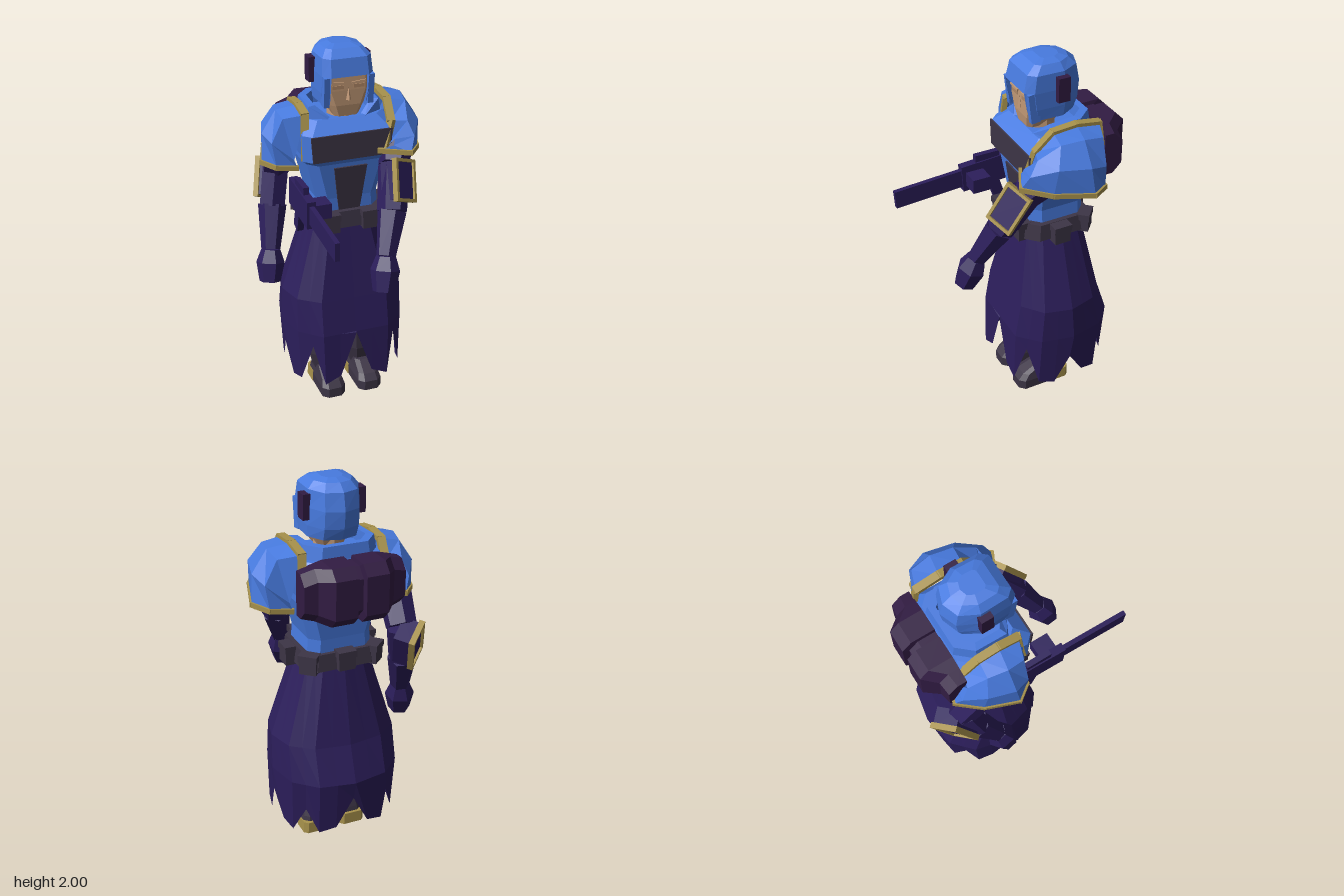
import * as THREE from 'three';

const mat = (name, color) => new THREE.MeshStandardMaterial({ name, color, flatShading: true, side: THREE.DoubleSide });
const blue = mat('armour blue', 0x487be0), gold = mat('trim gold', 0xa8924c), purple = mat('cloth purple', 0x2c1e5b);
const grey = mat('dark grey', 0x3d3546), plum = mat('pack plum', 0x321c43), skin = mat('skin', 0xc69c78);
const lid = mat('eye tan', 0xb08866);
const V = (p) => new THREE.Vector3(...p);

export function createModel() {
  const root = new THREE.Group();
  const add = (name, geo, m, pos = [0, 0, 0], rot = [0, 0, 0], parent = root) => {
    const mesh = new THREE.Mesh(geo, m);
    mesh.name = name;
    mesh.position.set(...pos);
    mesh.rotation.set(...rot);
    parent.add(mesh);
    return mesh;
  };
  const box = (name, m, size, pos, rot, parent) => add(name, new THREE.BoxGeometry(...size), m, pos, rot, parent);

  // Skin a row of equal-length cross-sections, facing outwards
  function loft(rings, { closed = true, caps = false } = {}) {
    const n = rings[0].length, tris = [], pts = rings.flat().map(V);
    for (let r = 0; r < rings.length - 1; r++) {
      for (let i = 0; i < (closed ? n : n - 1); i++) {
        const a = r * n + i, b = r * n + (i + 1) % n;
        tris.push([a, b, b + n], [a, b + n, a + n]);
      }
    }
    if (caps) {
      const e = (rings.length - 1) * n;
      for (let i = 1; i < n - 1; i++) tris.push([0, i + 1, i], [e, e + i, e + i + 1]);
    }
    const mid = pts.reduce((s, p) => s.add(p), new THREE.Vector3()).divideScalar(pts.length);
    let vol = 0;
    for (const t of tris) {
      const [a, b, c] = t.map((k) => pts[k].clone().sub(mid));
      vol += a.dot(b.cross(c));
    }
    if (vol < 0) tris.forEach((t) => t.reverse());
    const geo = new THREE.BufferGeometry().setFromPoints(tris.flat().map((k) => pts[k]));
    geo.computeVertexNormals();
    return geo;
  }
  // Horizontal rectangle with cut corners
  const oct = (y, hx, zf, zb, c = 0.05, cx = 0) => [[hx - c, zf], [hx, zf - c], [hx, zb + c], [hx - c, zb],
    [c - hx, zb], [-hx, zb + c], [-hx, zf - c], [c - hx, zf]].map(([x, z]) => [x + cx, y, z]);
  // Tapered six-sided rod between two points
  function limb(name, a, b, ra, rb) {
    const A = V(a), B = V(b), d = B.clone().sub(A);
    const mesh = add(name, new THREE.CylinderGeometry(rb, ra, d.length(), 6), purple, A.clone().lerp(B, 0.5).toArray());
    mesh.quaternion.setFromUnitVectors(new THREE.Vector3(0, 1, 0), d.normalize());
  }
  function bars(name, pts, w, h) {
    for (let i = 0; i < pts.length - 1; i++) {
      const A = V(pts[i]), B = V(pts[i + 1]);
      box(name, gold, [w, h, A.distanceTo(B) + 0.012], A.clone().lerp(B, 0.5).toArray()).lookAt(B);
    }
  }
  function plate(name, m, corners, depth, pos, rot) {
    const shape = new THREE.Shape(corners.map((c) => new THREE.Vector2(...c)));
    add(name, new THREE.ExtrudeGeometry(shape, { depth, bevelEnabled: false }), m, pos, rot);
  }

  // Torso and its dark panels
  add('torso', loft([oct(1.06, 0.18, 0, -0.31), oct(1.2, 0.17, 0, -0.31), oct(1.4, 0.22, 0.02, -0.32),
    oct(1.43, 0.25, 0.04, -0.34, 0.04), oct(1.57, 0.25, 0.04, -0.36, 0.04), oct(1.63, 0.21, -0.03, -0.34)], { caps: true }), blue);
  plate('chestPanel', grey, [[-0.21, 1.43], [0.21, 1.43], [0.22, 1.57], [-0.22, 1.57]], 0.009, [0, 0, 0.041]);
  plate('bellyPanel', grey, [[-0.055, -0.1], [0.055, -0.1], [0.09, 0.18], [-0.09, 0.18]], 0.009, [0, 1.2, 0.001], [0.1, 0, 0]);

  // Collar, low at the front
  const collar = (s, dy) => [[0.09, 1.62, -0.02], [0.19, 1.69, -0.08], [0.19, 1.7, -0.25], [0.12, 1.7, -0.33],
    [-0.12, 1.7, -0.33], [-0.19, 1.7, -0.25], [-0.19, 1.69, -0.08], [-0.09, 1.62, -0.02]]
    .map(([x, y, z]) => [x * s, y + dy, (z + 0.16) * s - 0.16]);
  add('collar', loft([collar(1.1, -0.12), collar(1, 0), collar(0.8, 0), collar(0.78, -0.1)]), blue);

  // Head: neck, face, eyes and nose
  add('neck', new THREE.CylinderGeometry(0.08, 0.08, 0.18, 8), skin, [0, 1.64, -0.12]);
  add('face', loft([oct(1.64, 0.065, -0.025, -0.18, 0.02), oct(1.7, 0.095, -0.014, -0.2, 0.03),
    oct(1.78, 0.112, -0.01, -0.2, 0.02), oct(1.88, 0.112, -0.01, -0.2, 0.02)], { caps: true }), skin);
  add('nose', new THREE.ConeGeometry(0.014, 0.07, 4), skin, [0, 1.765, -0.008]);
  for (const s of [-1, 1]) {
    box('brow', skin, [0.075, 0.012, 0.009], [s * 0.055, 1.82, -0.008], [0, 0, s * 0.08]);
    box('eye', lid, [0.06, 0.018, 0.006], [s * 0.055, 1.8, -0.009]);
  }

  // Helmet: full dome over an open-fronted skirt with ear blocks
  const helm = (y, sx, zf, zb) => [[0.1, 1], [0.135, 0.88], [0.14, 0.4], [0.09, 0.1], [0, 0], [-0.09, 0.1],
    [-0.14, 0.4], [-0.135, 0.88], [-0.1, 1]].map(([x, t]) => [x * sx, y, zb + (zf - zb) * t]);
  const rim = helm(1.86, 1, 0.02, -0.325);
  add('helmetDome', loft([rim, helm(1.95, 0.95, 0, -0.305), helm(1.987, 0.72, -0.05, -0.26), helm(2, 0.4, -0.1, -0.21)], { caps: true }), blue);
  add('helmetSides', loft([helm(1.71, 0.97, -0.015, -0.29), helm(1.77, 1, 0.005, -0.315), rim], { closed: false }), blue);
  for (const s of [-1, 1]) {
    box('earBlock', plum, [0.04, 0.13, 0.065], [s * 0.147, 1.865, -0.168]);
    box('cheekGuard', blue, [0.03, 0.16, 0.05], [s * 0.118, 1.782, -0.022], [0.12, 0, 0]);
  }

  // Shoulder guards; the right one is the left turned half round
  const guard = [
    [[0.18, 1.46, 0.04], [0.22, 1.6, 0.02], [0.23, 1.69, -0.07], [0.23, 1.7, -0.2], [0.23, 1.68, -0.33], [0.24, 1.45, -0.36]],
    [[0.22, 1.52, 0.08], [0.3, 1.6, 0.05], [0.33, 1.67, -0.06], [0.35, 1.68, -0.18], [0.34, 1.66, -0.29], [0.28, 1.5, -0.34]],
    [[0.21, 1.49, 0.09], [0.32, 1.53, 0.1], [0.39, 1.57, -0.02], [0.43, 1.56, -0.18], [0.4, 1.53, -0.28], [0.29, 1.44, -0.32]],
    [[0.14, 1.46, 0.06], [0.29, 1.455, 0.135], [0.38, 1.43, 0], [0.44, 1.41, -0.2], [0.38, 1.4, -0.29], [0.27, 1.39, -0.31]]];
  const turned = guard.map((r) => r.map(([x, y, z]) => [-x * 0.97, y - 0.015, -0.32 - z * 0.85]));
  for (const [side, g] of [['left', guard], ['right', turned]]) {
    add(side + 'ShoulderGuard', loft(g, { closed: false }), blue);
    bars(side + 'ShoulderStrip', g[0], 0.042, 0.026);
    bars(side + 'ShoulderRim', g[3], 0.018, 0.026);
  }

  // Arms: shoulder, elbow, wrist and fist, with a framed plate on each
  const arms = [
    { side: 'left', p: [[0.27, 1.47, -0.02], [0.22, 1.37, 0.07], [0.165, 1.17, 0.19], [0.095, 0.97, 0.29], [0.06, 0.8, 0.35]],
      c: [0.24, 1.325, 0.175], up: [0.03, 0.19, -0.107], n: [0.51, 0.36, 0.78] },
    { side: 'right', p: [[-0.29, 1.45, -0.26], [-0.28, 1.25, -0.4], [-0.32, 1.05, -0.35], [-0.365, 0.83, -0.25], [-0.39, 0.66, -0.2]],
      c: [-0.33, 1.16, -0.475], up: [0.05, 0.2, -0.1], n: [-0.65, -0.1, -0.7] }];
  for (const { side, p, c, up, n } of arms) {
    limb(side + 'UpperArm', p[0], p[1], 0.09, 0.08);
    limb(side + 'Elbow', p[1], p[2], 0.08, 0.078);
    limb(side + 'Forearm', p[2], p[3], 0.078, 0.052);
    const mid = V(p[3]).lerp(V(p[4]), 0.4).toArray();
    limb(side + 'Hand', p[3], mid, 0.052, 0.078);
    limb(side + 'Fist', mid, p[4], 0.078, 0.058);
    const y = V(up).normalize(), z = V(n).addScaledVector(y, -V(n).dot(y)).normalize();
    const g = new THREE.Group();
    g.name = side + 'ArmPlate';
    g.position.set(...c);
    g.quaternion.setFromRotationMatrix(new THREE.Matrix4().makeBasis(y.clone().cross(z), y, z));
    root.add(g);
    box('plateBlock', purple, [0.14, 0.2, 0.1], [0, 0, -0.05], [0, 0, 0], g);
    for (const s of [-1, 1]) {
      box('plateFrameSide', gold, [0.016, 0.222, 0.03], [s * 0.07, 0, -0.003], [0, 0, 0], g);
      box('plateFrameEnd', gold, [0.156, 0.016, 0.03], [0, s * 0.103, -0.003], [0, 0, 0], g);
    }
  }

  // Rifle at the right hip
  box('rifleBarrel', purple, [0.025, 0.1, 0.5], [-0.273, 1.215, 0.33], [0.06, 0, 0]);
  box('rifleBody', purple, [0.045, 0.15, 0.3], [-0.275, 1.23, 0.05], [0.06, 0, 0]);
  box('rifleSight', purple, [0.03, 0.05, 0.14], [-0.275, 1.315, 0.05]);
  box('rifleGrip', purple, [0.035, 0.13, 0.06], [-0.275, 1.12, 0], [0.3, 0, 0]);
  box('rifleDrum', purple, [0.1, 0.08, 0.1], [-0.21, 1.22, 0.13]);

  // Back pack: cut-corner sections along x with a groove in the middle
  const pack = (x, zb, h) => [[-0.35, -h], [zb + 0.05, -h], [zb, 0.05 - h], [zb, h - 0.05], [zb + 0.05, h], [-0.35, h]]
    .map(([z, y]) => [x, 1.5 + y, z]);
  const half = [[0.268, -0.45, 0.115], [0.2, -0.46, 0.135], [0.14, -0.53, 0.15], [0.022, -0.53, 0.15], [0.018, -0.497, 0.13]];
  add('backPack', loft([...half.map(([x, z, h]) => pack(-x, z, h)), ...half.slice().reverse().map(([x, z, h]) => pack(x, z, h))], { caps: true }), plum);

  // Belt and pouches
  add('belt', loft([oct(1.04, 0.21, 0.04, -0.34, 0.06), oct(1.13, 0.2, 0.03, -0.33, 0.06)], { caps: true }), grey);
  for (const [x, y, z, turn] of [[-0.12, 1.08, 0.04, 0], [0.1, 1.08, 0.04, 0], [0.225, 1.075, -0.13, 1.57],
    [-0.215, 1.085, -0.13, 1.57], [0.18, 1.08, -0.3, 2.4], [-0.18, 1.08, -0.3, -2.4], [0, 1.09, -0.34, 0]]) {
    box('pouch', grey, [0.09, 0.1, 0.06], [x, y, z], [0, turn, 0]);
    box('pouchFlap', grey, [0.1, 0.035, 0.07], [x, y + 0.035, z], [0, turn, 0]);
  }

  // Skirt of twelve broad panels with a ragged hem, parted at the front
  const hem = [0.43, 0.17, 0.13, 0.36, 0.14, 0.12, 0.29, 0.15, 0.13, 0.27, 0.14, 0.16, 0.33];
  const skirt = (y, rx, zf, zb) => {
    const at = (i) => {
      const a = i * Math.PI / 12, sq = (v) => Math.sign(v) * Math.abs(v) ** 0.85;
      const part = i % 24 === 0 ? 0.88 : 1;
      return V([rx * sq(Math.sin(a)), 0, (zf + zb) / 2 + (zf - zb) / 2 * sq(Math.cos(a)) * part]);
    };
    return hem.concat(hem.slice(1, -1).reverse()).map((h, i) => {
      const p = i % 2 ? at(i - 1).lerp(at(i + 1), 0.5) : at(i);
      return [p.x, y ?? h, p.z];
    });
  };
  add('skirt', loft([skirt(1.07, 0.19, 0.02, -0.33), skirt(0.63, 0.335, 0.11, -0.42), skirt(0.435, 0.338, 0.15, -0.49),
    skirt(null, 0.325, 0.155, -0.465)]), purple);

  // Legs and boots
  for (const s of [-1, 1]) {
    const x = s * 0.108, leg = (y, r, dx = 0) => oct(y, r, -0.14 + r, -0.14 - r, r * 0.5, x + s * dx);
    add('leg', loft([leg(0.09, 0.055), leg(0.2, 0.08), leg(0.45, 0.085, -0.005), leg(0.95, 0.1)], { caps: true }), grey);
    add('bootShoe', loft([oct(0, 0.067, 0.07, -0.22, 0.03, x), oct(0.055, 0.067, 0.07, -0.22, 0.03, x),
      oct(0.09, 0.058, 0.04, -0.215, 0.025, x), oct(0.13, 0.05, -0.05, -0.205, 0.025, x)], { caps: true }), grey);
    add('bootHeel', loft([oct(0, 0.071, -0.11, -0.235, 0.02, x), oct(0.065, 0.069, -0.11, -0.235, 0.02, x)], { caps: true }), gold);
  }
  return root;
}
